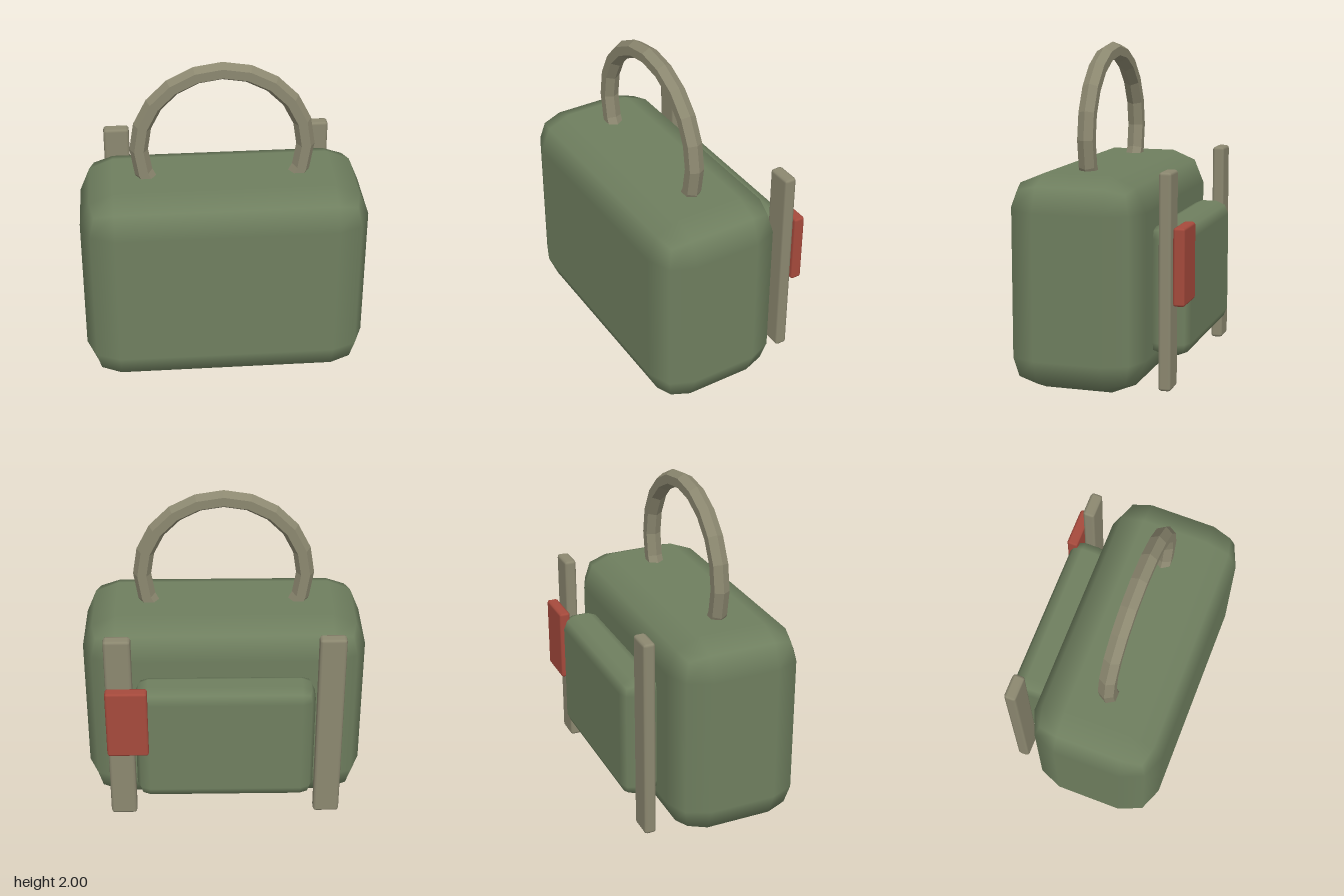
import * as THREE from 'three';
import { RoundedBoxGeometry } from 'three/addons/geometries/RoundedBoxGeometry.js';

const green = new THREE.MeshStandardMaterial({ color: 0x6f7f5f });
const tan = new THREE.MeshStandardMaterial({ color: 0x8c8870 });
const tanFlat = new THREE.MeshStandardMaterial({ color: 0x8c8870, flatShading: true });
const red = new THREE.MeshStandardMaterial({ color: 0xa64a3c });

// Bevelled box given by its [min, max] range on each axis
function roundedBox(name, [x0, x1], [y0, y1], [z0, z1], radius, material) {
  const geometry = new RoundedBoxGeometry(x1 - x0, y1 - y0, z1 - z0, 1, radius);
  const mesh = new THREE.Mesh(geometry, material);
  mesh.name = name;
  mesh.position.set((x0 + x1) / 2, (y0 + y1) / 2, (z0 + z1) / 2);
  return mesh;
}

export function createModel() {
  const bag = new THREE.Group();
  bag.name = 'bag';

  // Main bag and the pocket on its back
  bag.add(roundedBox('body', [-0.86, 0.86], [0, 1.27], [-0.29, 0.53], 0.205, green));
  bag.add(roundedBox('backPocket', [-0.54, 0.54], [0.2, 0.975], [-0.255, -0.505].reverse(), 0.08, green));

  // Pair of upright straps behind the bag
  bag.add(roundedBox('leftStrap', [0.55, 0.71], [0.05, 1.31], [-0.45, -0.375], 0.018, tan));
  bag.add(roundedBox('rightStrap', [-0.71, -0.55], [0.05, 1.31], [-0.45, -0.375], 0.018, tan));

  // Red tag on the left strap
  bag.add(roundedBox('tag', [0.46, 0.71], [0.55, 1.0], [-0.53, -0.46], 0.015, red));

  // Hexagonal carrying handle, its ends sunk into the top of the body
  const step = Math.PI / 10;
  const handle = new THREE.Mesh(new THREE.TorusGeometry(0.495, 0.055, 6, 14, 14 * step), tanFlat);
  handle.name = 'handle';
  handle.rotation.z = -2 * step;
  handle.position.set(0, 1.45, 0.12);
  bag.add(handle);

  return bag;
}
